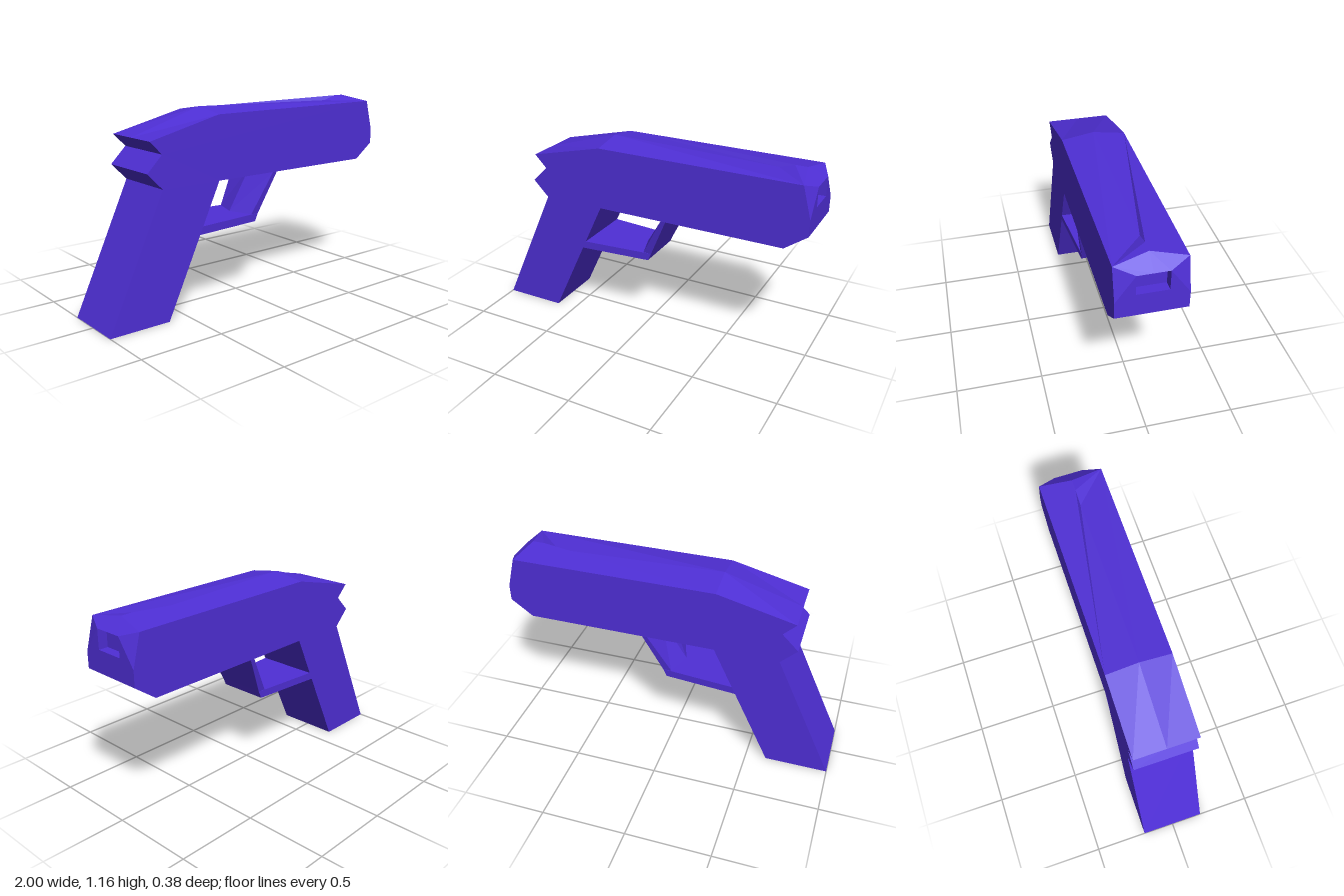
import * as THREE from 'three';

const W = 0.19; // half width of the body

// Collects flat convex polygons (corners counter-clockwise from outside).
class Faces {
  constructor() { this.pos = []; }
  poly(...p) {
    for (let i = 1; i < p.length - 1; i++) this.pos.push(...p[0], ...p[i], ...p[i + 1]);
  }
  // the polygon and its mirror image across z = 0
  both(...p) {
    this.poly(...p);
    this.poly(...p.map(([x, y, z]) => [x, y, -z]).reverse());
  }
  // quads joining two closed loops
  bridge(a, b) {
    a.forEach((p, i) => {
      const j = (i + 1) % a.length;
      this.poly(p, a[j], b[j], b[i]);
    });
  }
  mesh(name, material) {
    const g = new THREE.BufferGeometry();
    g.setAttribute('position', new THREE.Float32BufferAttribute(this.pos, 3));
    g.computeVertexNormals();
    const m = new THREE.Mesh(g, material);
    m.name = name;
    return m;
  }
}

export function createModel() {
  const group = new THREE.Group();
  group.name = 'toyBlaster';
  const mat = new THREE.MeshStandardMaterial({ color: 0x4f2fd6, flatShading: true });

  // Side outline: grip, underside, nose, top edge, notched rear
  const outline = [
    [-1, 0], [-0.625, 0], [-0.27, 0.76], [0.87, 0.76], [1, 0.855], [1, 0.95],
    [0.95, 1.135], [-0.27, 1.135], [-0.725, 1.025], [-0.65, 0.95], [-0.745, 0.855], [-0.65, 0.76],
  ];
  const body = new Faces();
  const contour = outline.map(([x, y]) => new THREE.Vector2(x, y));
  for (const t of THREE.ShapeUtils.triangulateShape(contour, [])) {
    body.both(...t.map((i) => [...outline[i], W]));
  }
  // Faces across the width
  for (const i of [1, 2, 3, 8, 9, 10, 11]) {
    const a = outline[i], b = outline[(i + 1) % outline.length];
    body.poly([...a, W], [...a, -W], [...b, -W], [...b, W]);
  }

  // Grip base: rim around a deep hollow that follows the grip's slant
  const base = (x0, x1, y, w) => [[x0, y, w], [x0, y, -w], [x1, y, -w], [x1, y, w]];
  const rim = base(-0.955, -0.67, 0, 0.145);
  const hollow = base(-0.675, -0.39, 0.6, 0.145);
  body.bridge(base(-1, -0.625, 0, W), rim);
  body.bridge(rim, hollow);
  body.poly(...hollow);

  // Nose with cut upper corners and a square muzzle recess
  const h = 0.085, corner = [0.95, 1.135, W];
  body.poly([1, 0.855, -W], [1, 0.95, -W], [1, 0.985, -h], [1, 0.985, h], [1, 0.95, W], [1, 0.855, W]);
  body.both([1, 0.95, W], [1, 0.985, h], [1, 1.1, h]);
  body.both(corner, [1, 0.95, W], [1, 1.1, h]);
  const muzzle = (x) => [[x, 0.985, -h], [x, 1.1, -h], [x, 1.1, h], [x, 0.985, h]];
  body.bridge(muzzle(1), muzzle(0.945));
  body.poly(...muzzle(0.945));

  // Low ridged top, rising to a front sight
  const ridge = [[0.91, 1.165, 0], [0.84, 1.165, 0], [0.75, 1.138, 0], [-0.27, 1.165, 0]];
  body.both(corner, ...ridge, [-0.27, 1.135, W]);
  body.both(corner, [1, 1.1, h], [1, 1.1, 0], ridge[0]);
  body.both([-0.27, 1.135, W], ridge[3], [-0.725, 1.025, 0], [-0.725, 1.025, W]);
  group.add(body.mesh('body', mat));

  // Guard plate, narrowing towards the front
  const plate = new Faces();
  const section = (xLow, xHigh, w) =>
    [[xLow, 0.465, -w], [xHigh, 0.512, -w], [xHigh, 0.512, w], [xLow, 0.465, w]];
  const front = section(0.03, 0.051, 0.15);
  plate.bridge(section(-0.41, -0.388, W), front);
  plate.poly(...front);
  group.add(plate.mesh('guardPlate', mat));

  // Slanted guard leg with a ridged inner face
  const leg = new Faces();
  const ring = (y, w, xFront, xBack, xMid) =>
    [[xFront, y, w], [xFront, y, -w], [xBack, y, -w], [xMid, y, 0], [xBack, y, w]];
  leg.bridge(ring(0.512, 0.15, 0.051, 0, -0.05), ring(0.76, W, 0.165, 0.135, 0.105));
  group.add(leg.mesh('guardLeg', mat));

  return group;
}
